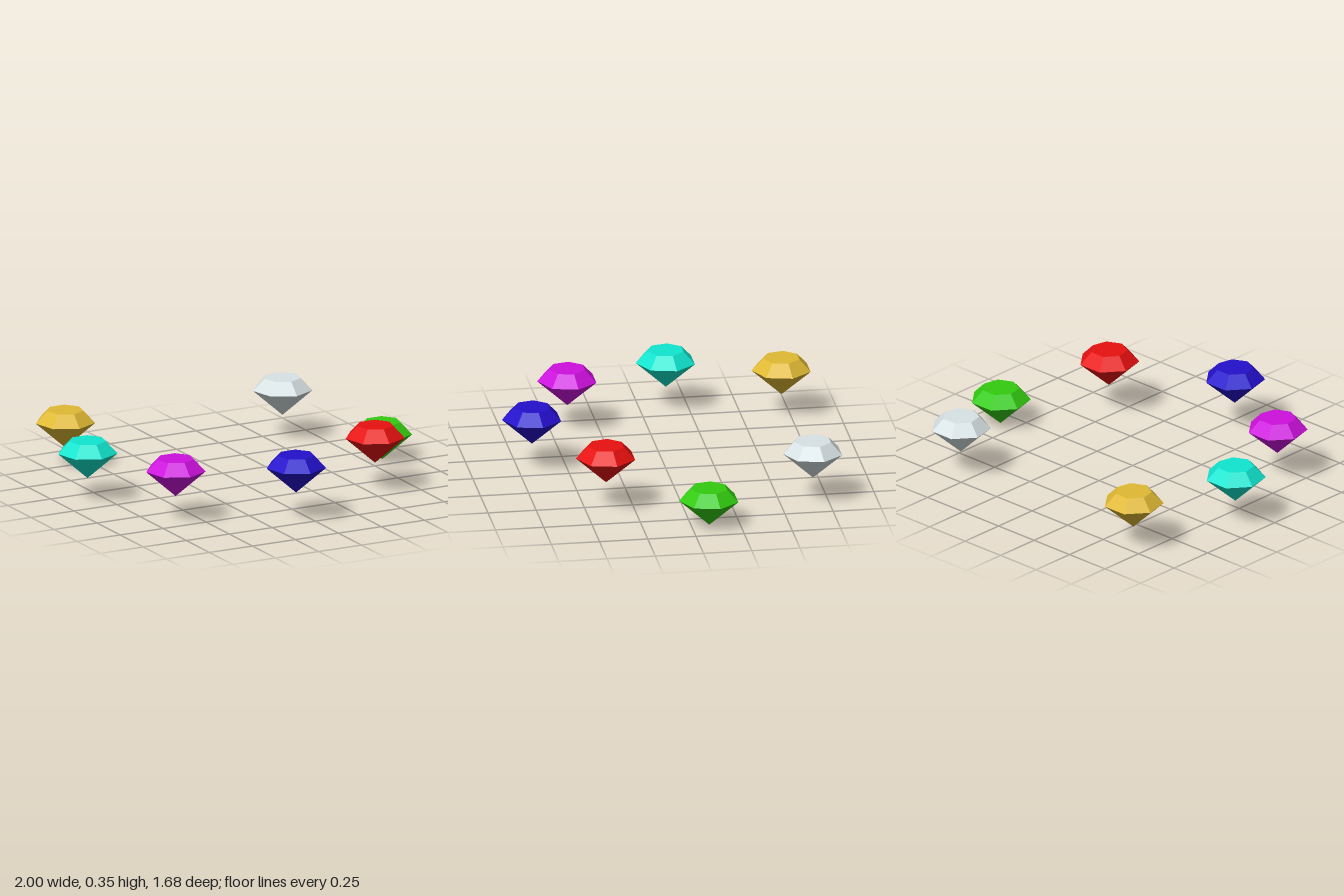
import * as THREE from 'three';

// Seven-sided cut stone: pointed pavilion, girdle, crown and flat table
const GIRDLE_RADIUS = 0.156;
const TABLE_RADIUS = 0.096;
const GIRDLE_HEIGHT = 0.139;
const HEIGHT = 0.201;

// name, colour, position of the lower tip
const GEMS = [
  ['blueGem', 0x2410cc, [-0.075, 0.153, 0.682]],
  ['redGem', 0xe81010, [0.539, 0.154, 0.394]],
  ['greenGem', 0x33cc10, [0.843, 0.007, -0.093]],
  ['whiteGem', 0xd8e2e4, [0.575, 0.131, -0.673]],
  ['goldGem', 0xe0b933, [-0.671, 0.12, -0.705]],
  ['turquoiseGem', 0x10e6d0, [-0.849, 0.128, -0.133]],
  ['magentaGem', 0xce10de, [-0.63, 0.141, 0.412]],
];

export function createModel() {
  const model = new THREE.Group();
  model.name = 'gemCircle';

  // Shared faceted profile, from the tip up to the centre of the table
  const profile = [
    [0, 0],
    [GIRDLE_RADIUS, GIRDLE_HEIGHT],
    [TABLE_RADIUS, HEIGHT],
    [0, HEIGHT],
  ].map(([r, y]) => new THREE.Vector2(r, y));
  const geometry = new THREE.LatheGeometry(profile, 7);

  // One stone of each colour
  for (const [name, color, position] of GEMS) {
    const material = new THREE.MeshStandardMaterial({ color, flatShading: true });
    const gem = new THREE.Mesh(geometry, material);
    gem.name = name;
    gem.position.set(...position);
    model.add(gem);
  }
  return model;
}
